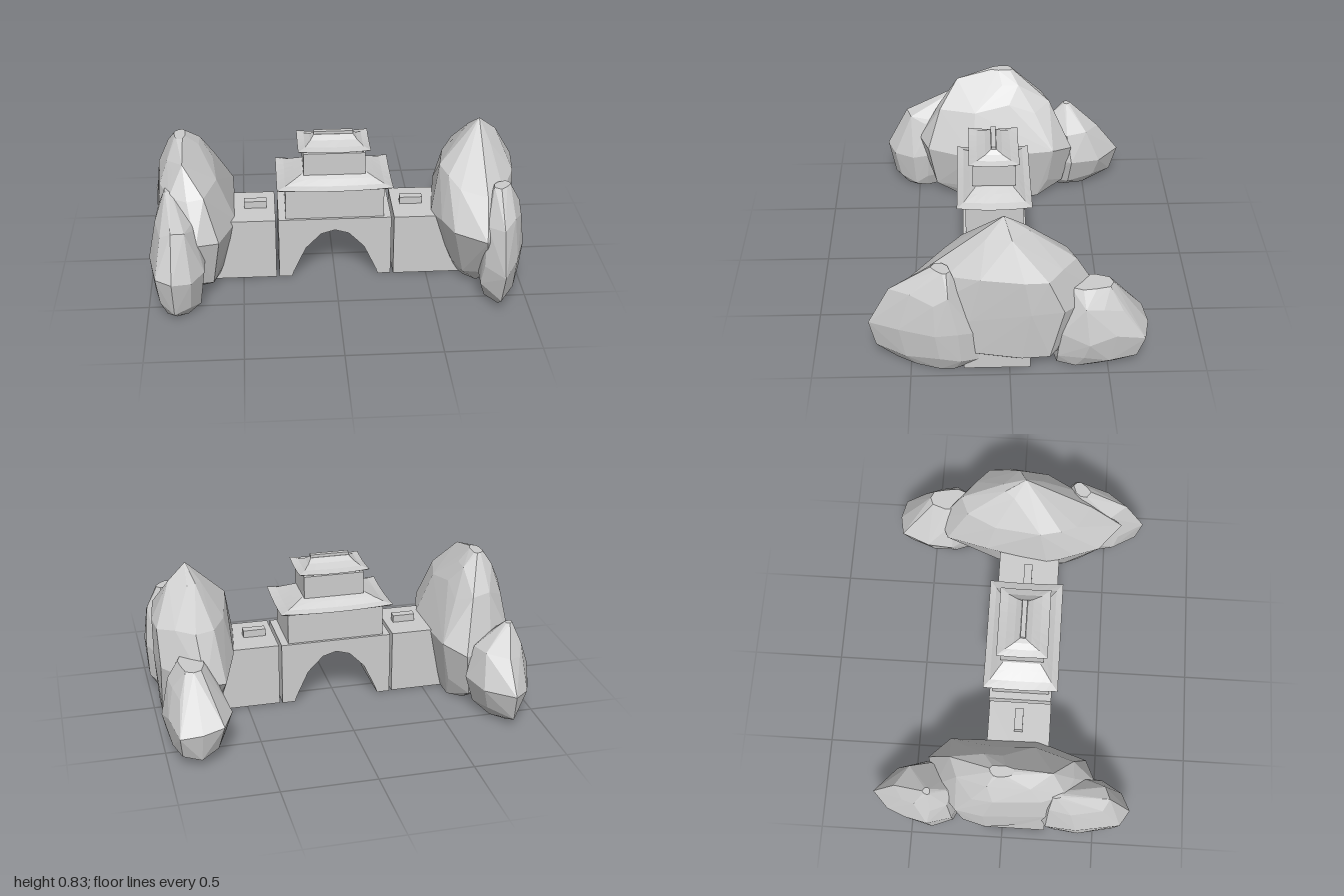
import * as THREE from 'three';
import { ConvexGeometry } from 'three/addons/geometries/ConvexGeometry.js';

const stone = new THREE.MeshStandardMaterial({ color: 0xcccccc });
stone.name = 'paleStone';

const GATE_Z = 0.06;

function add(parent, name, geometry) {
  const mesh = new THREE.Mesh(geometry, stone);
  mesh.name = name;
  parent.add(mesh);
  return mesh;
}

// Box given by its extents
function box(parent, name, x0, x1, y0, y1, z0, z1) {
  const mesh = add(parent, name, new THREE.BoxGeometry(x1 - x0, y1 - y0, z1 - z0));
  mesh.position.set((x0 + x1) / 2, (y0 + y1) / 2, (z0 + z1) / 2);
  return mesh;
}

function seeded(seed) {
  return () => {
    seed = (seed * 16807) % 2147483647;
    return seed / 2147483647;
  };
}

// Faceted boulder: an irregular plan outline of [x, z], fitted to each ring [y, xMin, xMax, zMin, zMax]
function rock(parent, name, seed, plan, rings) {
  const rand = seeded(seed);
  const bounds = new THREE.Box2().setFromPoints(plan.map(([x, z]) => new THREE.Vector2(x, z)));
  const { min, max } = bounds;
  const points = [];
  rings.forEach(([y, x0, x1, z0, z1], r) => {
    const inner = r > 0 && r < rings.length - 1;
    for (const [px, pz] of plan) {
      const k = 0.96 + rand() * 0.06;
      const u = 0.5 + ((px - min.x) / (max.x - min.x) - 0.5) * k;
      const v = 0.5 + ((pz - min.y) / (max.y - min.y) - 0.5) * k;
      const dy = inner ? (rand() - 0.5) * 0.07 : 0;
      points.push(new THREE.Vector3(
        THREE.MathUtils.clamp(x0 + (x1 - x0) * u, -1, 1),
        inner ? Math.max(0.03, y + dy) : y,
        z0 + (z1 - z0) * v));
    }
  });
  return add(parent, name, new ConvexGeometry(points));
}

// Hipped roof with curved slopes and lifted corners; rings are [halfX, halfZ, y, cornerLift]
function roof(parent, name, rings) {
  const n = 6, count = n * 4;
  const pos = [], index = [];
  const corners = [[-1, 1], [1, 1], [1, -1], [-1, -1]];
  for (const [hx, hz, y, lift] of rings) {
    for (let side = 0; side < 4; side++) {
      const [ax, az] = corners[side], [bx, bz] = corners[(side + 1) % 4];
      for (let i = 0; i < n; i++) {
        const t = i / n;
        pos.push((ax + (bx - ax) * t) * hx, y + lift * (2 * t - 1) ** 2, (az + (bz - az) * t) * hz);
      }
    }
  }
  for (let r = 0; r < rings.length - 1; r++) {
    for (let i = 0; i < count; i++) {
      const a = r * count + i, b = r * count + (i + 1) % count;
      index.push(a, b, b + count, a, b + count, a + count);
    }
  }
  const geo = new THREE.BufferGeometry();
  geo.setAttribute('position', new THREE.Float32BufferAttribute(pos, 3));
  geo.setIndex(index);
  const flat = geo.toNonIndexed();
  flat.computeVertexNormals();
  const mesh = add(parent, name, flat);
  mesh.position.z = GATE_Z;
  return mesh;
}

export function createModel() {
  const model = new THREE.Group();
  model.name = 'mountainGate';

  // Gate block with a faceted arch passing through
  const gate = new THREE.Group();
  gate.name = 'gatehouse';
  model.add(gate);
  const half = [[0.235, 0], [0.225, 0.03], [0.158, 0.175], [0.075, 0.26]];
  const outline = [[-0.305, 0], [-0.305, 0.35], [0.305, 0.35], [0.305, 0], ...half, [0, 0.282],
    ...half.slice().reverse().map(([x, y]) => [-x, y])];
  const shape = new THREE.Shape(outline.map(([x, y]) => new THREE.Vector2(x, y)));
  const arch = add(gate, 'archBlock',
    new THREE.ExtrudeGeometry(shape, { depth: 0.34, bevelEnabled: false }));
  arch.position.z = GATE_Z - 0.17;

  // Two storeys and their roofs
  box(gate, 'lowerStorey', -0.265, 0.265, 0.35, 0.517, GATE_Z - 0.155, GATE_Z + 0.155);
  roof(gate, 'lowerRoof', [
    [0, 0, 0.529, 0], [0.295, 0.19, 0.529, 0.006], [0.31, 0.2, 0.532, 0.013],
    [0.265, 0.165, 0.546, 0.007], [0.215, 0.13, 0.572, 0.002], [0.175, 0.1, 0.592, 0], [0, 0, 0.592, 0],
  ]);
  box(gate, 'upperStorey', -0.165, 0.165, 0.59, 0.715, GATE_Z - 0.115, GATE_Z + 0.115);
  roof(gate, 'upperRoof', [
    [0, 0, 0.725, 0], [0.182, 0.126, 0.725, 0.005], [0.193, 0.135, 0.728, 0.01],
    [0.155, 0.09, 0.739, 0.004], [0.125, 0.045, 0.76, 0.001], [0.105, 0.015, 0.782, 0], [0, 0, 0.782, 0],
  ]);
  box(gate, 'roofRidge', -0.105, 0.105, 0.78, 0.798, GATE_Z - 0.013, GATE_Z + 0.013);

  // Side walls running into the rocks, each with a small parapet block
  for (const s of [-1, 1]) {
    const side = s > 0 ? 'left' : 'right';
    const wall = box(model, side + 'Wall', 0.32, 0.945, 0, 0.35, -0.105, 0.232);
    wall.position.x *= s;
    const block = box(model, side + 'ParapetBlock', 0.365, 0.487, 0.345, 0.39, 0.038, 0.083);
    block.position.x *= s;
  }

  // Rocks on the left
  rock(model, 'leftMainRock', 11, [
    [0.77, -0.45], [0.66, -0.4], [0.58, -0.18], [0.53, 0.16], [0.56, 0.32], [0.62, 0.44],
    [0.77, 0.56], [0.87, 0.42], [0.96, 0.2], [0.99, -0.1], [0.98, -0.27], [0.88, -0.37],
  ], [
    [0, 0.66, 0.86, -0.2, 0.33], [0.09, 0.61, 0.98, -0.34, 0.45], [0.35, 0.53, 0.99, -0.46, 0.57],
    [0.57, 0.575, 0.995, -0.33, 0.41], [0.72, 0.7, 0.89, -0.1, 0.15], [0.83, 0.788, 0.794, 0.022, 0.028],
  ]);
  rock(model, 'leftFrontRock', 23, [
    [0.855, 0.7], [0.77, 0.56], [0.78, 0.37], [0.83, 0.22], [0.95, 0.14], [1, 0.25], [1, 0.36], [0.94, 0.54],
  ], [
    [0, 0.78, 0.95, 0.2, 0.58], [0.08, 0.75, 0.99, 0.14, 0.68], [0.26, 0.76, 1.0, 0.15, 0.715],
    [0.44, 0.78, 0.98, 0.23, 0.6], [0.585, 0.83, 0.92, 0.29, 0.39],
  ]);
  rock(model, 'leftBackRock', 37, [
    [0.83, -0.7], [0.72, -0.67], [0.65, -0.53], [0.66, -0.4], [0.75, -0.25],
    [0.94, -0.27], [1, -0.4], [0.98, -0.53], [0.94, -0.67],
  ], [
    [0, 0.74, 0.94, -0.57, -0.22], [0.06, 0.68, 0.98, -0.68, -0.22], [0.2, 0.645, 1.0, -0.715, -0.24],
    [0.36, 0.72, 0.96, -0.59, -0.27], [0.455, 0.77, 0.9, -0.52, -0.29],
  ]);

  // Rocks on the right
  rock(model, 'rightMainRock', 53, [
    [-0.65, -0.41], [-0.55, -0.3], [-0.555, -0.1], [-0.53, 0.17], [-0.62, 0.44], [-0.74, 0.47],
    [-0.87, 0.4], [-0.94, 0.23], [-0.97, -0.1], [-0.94, -0.25], [-0.8, -0.36],
  ], [
    [0, -0.9, -0.6, -0.28, 0.3], [0.1, -0.96, -0.58, -0.37, 0.42], [0.35, -0.975, -0.525, -0.42, 0.48],
    [0.58, -0.945, -0.63, -0.28, 0.38], [0.68, -0.9, -0.71, -0.15, 0.26], [0.768, -0.85, -0.79, -0.07, 0.06],
  ]);
  rock(model, 'rightFrontRock', 71, [
    [-0.865, 0.685], [-0.945, 0.63], [-0.99, 0.4], [-0.97, 0.24], [-0.92, 0.2],
    [-0.79, 0.25], [-0.71, 0.44], [-0.71, 0.53], [-0.77, 0.64],
  ], [
    [0, -0.93, -0.75, 0.3, 0.6], [0.06, -0.97, -0.72, 0.25, 0.65], [0.24, -0.995, -0.7, 0.19, 0.69],
    [0.45, -0.95, -0.75, 0.22, 0.57], [0.585, -0.9, -0.86, 0.26, 0.31],
  ]);
  rock(model, 'rightBackRock', 97, [
    [-0.83, -0.71], [-0.69, -0.59], [-0.65, -0.42], [-0.72, -0.27], [-0.85, -0.24],
    [-0.95, -0.27], [-1, -0.4], [-0.96, -0.53], [-0.92, -0.63],
  ], [
    [0, -0.92, -0.74, -0.58, -0.25], [0.07, -0.97, -0.69, -0.67, -0.24], [0.21, -1.0, -0.645, -0.715, -0.24],
    [0.38, -0.96, -0.69, -0.59, -0.27], [0.495, -0.9, -0.86, -0.42, -0.38],
  ]);

  return model;
}
